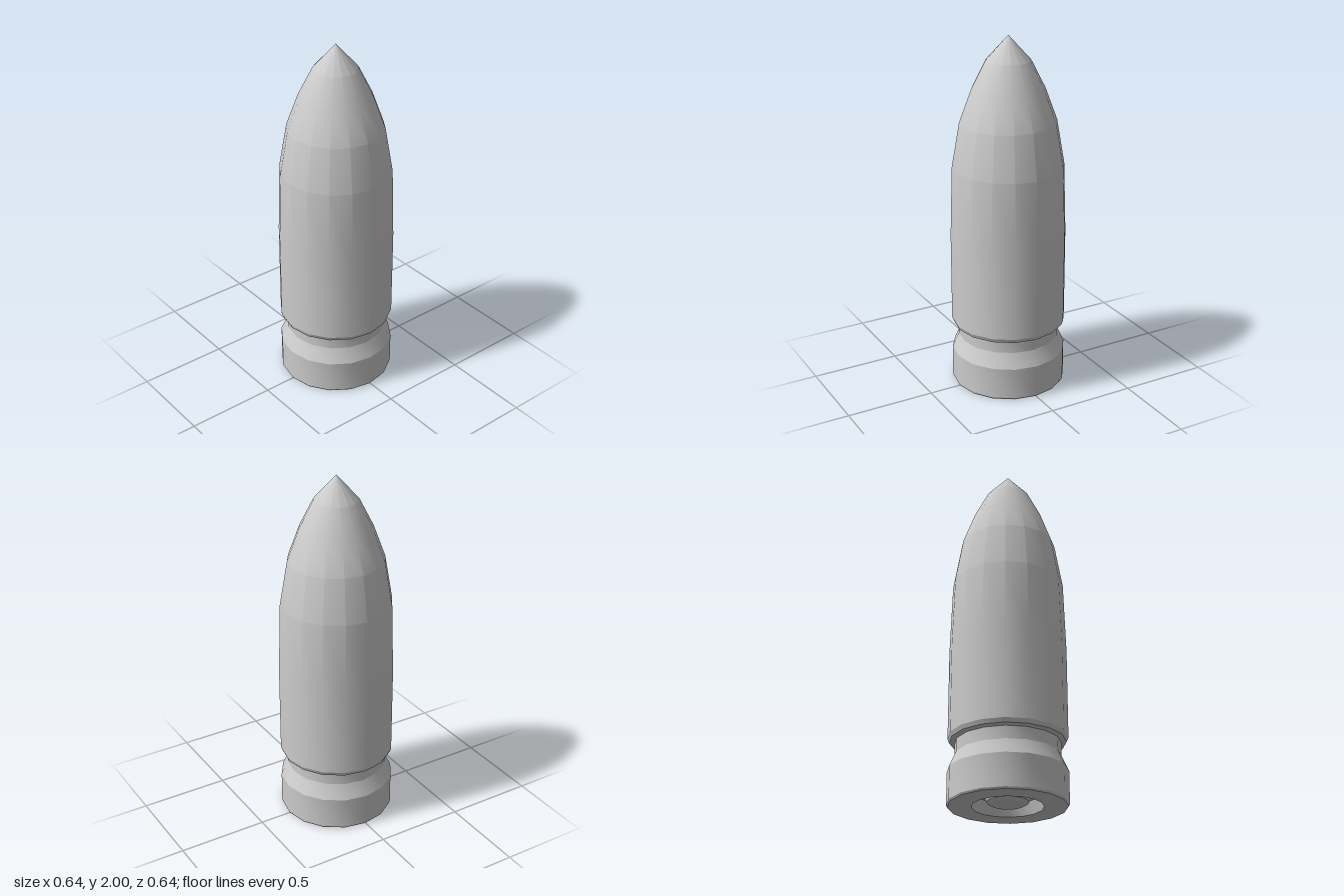
import * as THREE from 'three';
import { toCreasedNormals } from 'three/addons/utils/BufferGeometryUtils.js';

const SIDES = 16;
const CREASE = 0.4; // keeps the rim and groove edges sharp, the sides smooth

// Turned part from [radius, height] pairs running from bottom centre to top
function turned(name, profile, material) {
  const points = profile.map(([r, y]) => new THREE.Vector2(r, y));
  const geometry = toCreasedNormals(new THREE.LatheGeometry(points, SIDES), CREASE);
  const mesh = new THREE.Mesh(geometry, material);
  mesh.name = name;
  return mesh;
}

export function createModel() {
  const model = new THREE.Group();
  model.name = 'cartridge';
  const grey = new THREE.MeshStandardMaterial({ color: 0xcccccc });

  // Recessed base, rim, extractor groove, body and pointed nose
  model.add(turned('body', [
    [0, 0.07], [0.17, 0.07], [0.19, 0],
    [0.316, 0], [0.322, 0.01], [0.322, 0.19],
    [0.284, 0.275], [0.284, 0.345], [0.312, 0.352], [0.322, 0.375],
    [0.322, 0.88], [0.309, 1.28], [0.266, 1.53],
    [0.2, 1.71], [0.122, 1.865], [0, 2],
  ], grey));

  // Rounded primer cap sitting inside the base recess
  model.add(turned('primer', [
    [0, 0.01], [0.09, 0.012], [0.112, 0.024], [0.118, 0.042], [0.118, 0.075],
  ], grey));

  return model;
}
